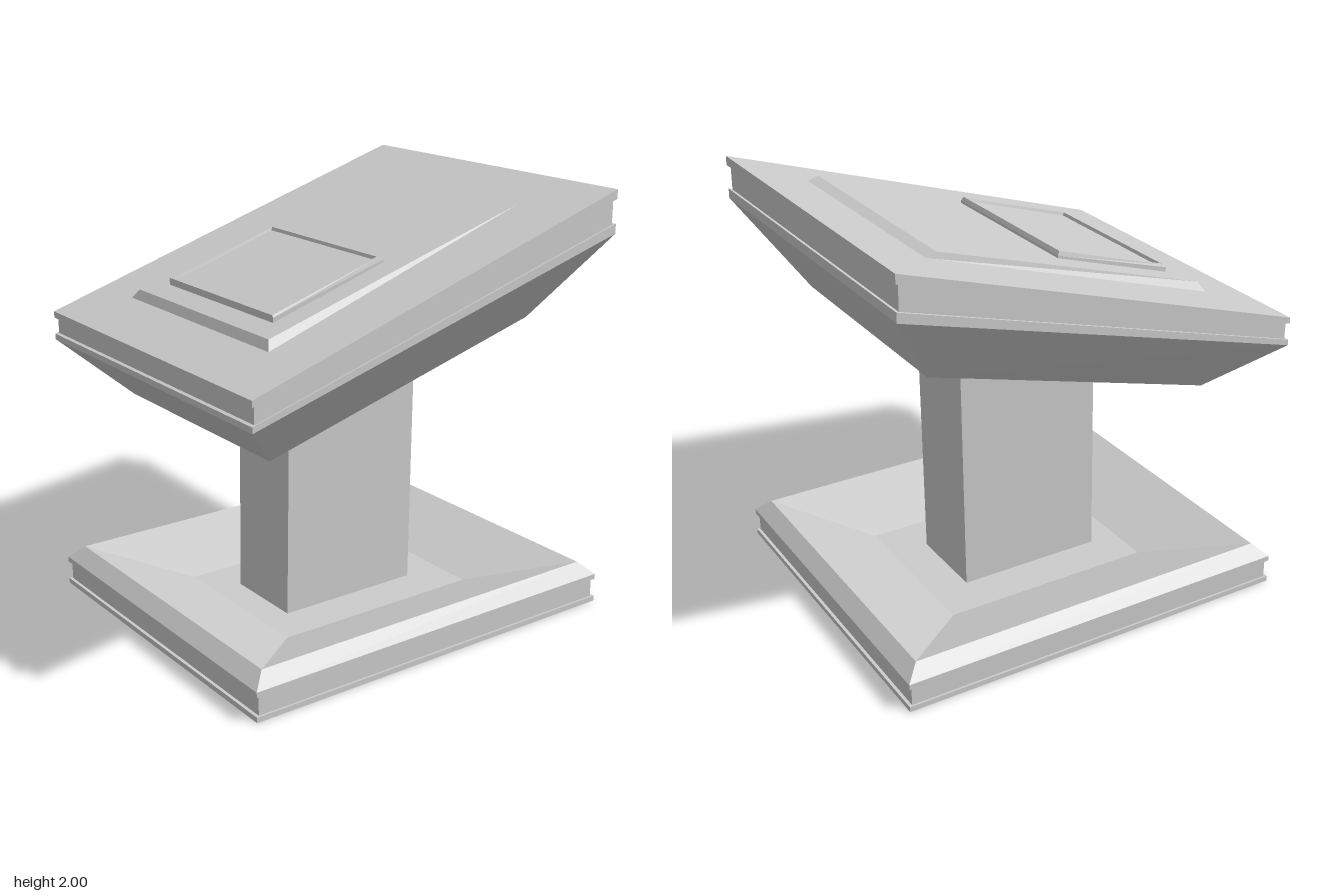
import * as THREE from 'three';

const grey = new THREE.MeshStandardMaterial({ color: 0xcccccc, flatShading: true });
const greyShell = new THREE.MeshStandardMaterial({ color: 0xcccccc, flatShading: true, side: THREE.DoubleSide });

// One rectangular section: x range, half depth, and height at its left and right ends
const ring = (x0, x1, z, y0, y1 = y0) => [[x0, y0, z], [x1, y1, z], [x1, y1, -z], [x0, y0, -z]];
const centred = (x, z, y0, y1) => ring(-x, x, z, y0, y1);

// Skins a stack of rectangular sections with flat faces
function loft(name, rings, { top = true, bottom = false, material = grey } = {}) {
  const pos = [];
  const quad = (a, b, c, d) => pos.push(...a, ...b, ...c, ...a, ...c, ...d);
  for (let r = 0; r < rings.length - 1; r++) {
    for (let i = 0; i < 4; i++) {
      const j = (i + 1) % 4;
      quad(rings[r][i], rings[r][j], rings[r + 1][j], rings[r + 1][i]);
    }
  }
  if (top) quad(...rings[rings.length - 1]);
  if (bottom) quad(...[...rings[0]].reverse());
  const geometry = new THREE.BufferGeometry();
  geometry.setAttribute('position', new THREE.Float32BufferAttribute(pos, 3));
  geometry.computeVertexNormals();
  const mesh = new THREE.Mesh(geometry, material);
  mesh.name = name;
  return mesh;
}

export function createModel() {
  const group = new THREE.Group();
  group.name = 'console';

  // Hollow foot: grooved edge, chamfered rim, then a shallow dish down to the post
  group.add(loft('base', [
    centred(0.975, 0.84, 0),
    centred(0.975, 0.84, 0.025),
    centred(0.96, 0.83, 0.025),
    centred(0.96, 0.83, 0.115),
    centred(0.975, 0.84, 0.115),
    centred(0.975, 0.84, 0.14),
    centred(0.91, 0.78, 0.2),
    centred(0.52, 0.40, 0.07),
  ], { material: greyShell }));

  // Slightly leaning post, cut to the slope of the head
  group.add(loft('post', [
    ring(-0.38, 0.335, 0.2, 0.07),
    ring(-0.36, 0.355, 0.2, 1.13, 1.33),
  ], { top: false }));

  // Tilted head: flared underside and grooved edge
  group.add(loft('head', [
    ring(-0.715, 0.71, 0.567, 1.005, 1.4),
    centred(0.975, 0.84, 1.255, 1.8),
    centred(0.975, 0.84, 1.282, 1.845),
    centred(0.96, 0.83, 1.286, 1.841),
    centred(0.96, 0.83, 1.365, 1.952),
    centred(0.975, 0.84, 1.36, 1.957),
    centred(0.975, 0.84, 1.39, 2.0),
  ], { bottom: true }));

  // Raised panel with bevelled edges
  const panel = loft('panel', [
    ring(-0.71, 0.7, 0.562, 1.473, 1.914),
    ring(-0.687, 0.65, 0.54, 1.515, 1.93),
  ]);
  // The bevel widens towards the low end
  const p = panel.geometry.attributes.position;
  for (let i = 0; i < p.count; i++) {
    if (Math.abs(Math.abs(p.getZ(i)) - 0.54) < 0.001) {
      p.setZ(i, Math.sign(p.getZ(i)) * (p.getX(i) < 0 ? 0.53 : 0.555));
    }
  }
  panel.geometry.computeVertexNormals();
  group.add(panel);

  // Screen: thin frame around a slightly sunken face
  group.add(loft('screen', [
    ring(-0.59, -0.01, 0.42, 1.54, 1.72),
    ring(-0.59, -0.01, 0.42, 1.567, 1.737),
    ring(-0.59, -0.02, 0.415, 1.577, 1.755),
    ring(-0.575, -0.035, 0.402, 1.582, 1.75),
    ring(-0.57, -0.04, 0.398, 1.567, 1.735),
  ]));

  return group;
}
